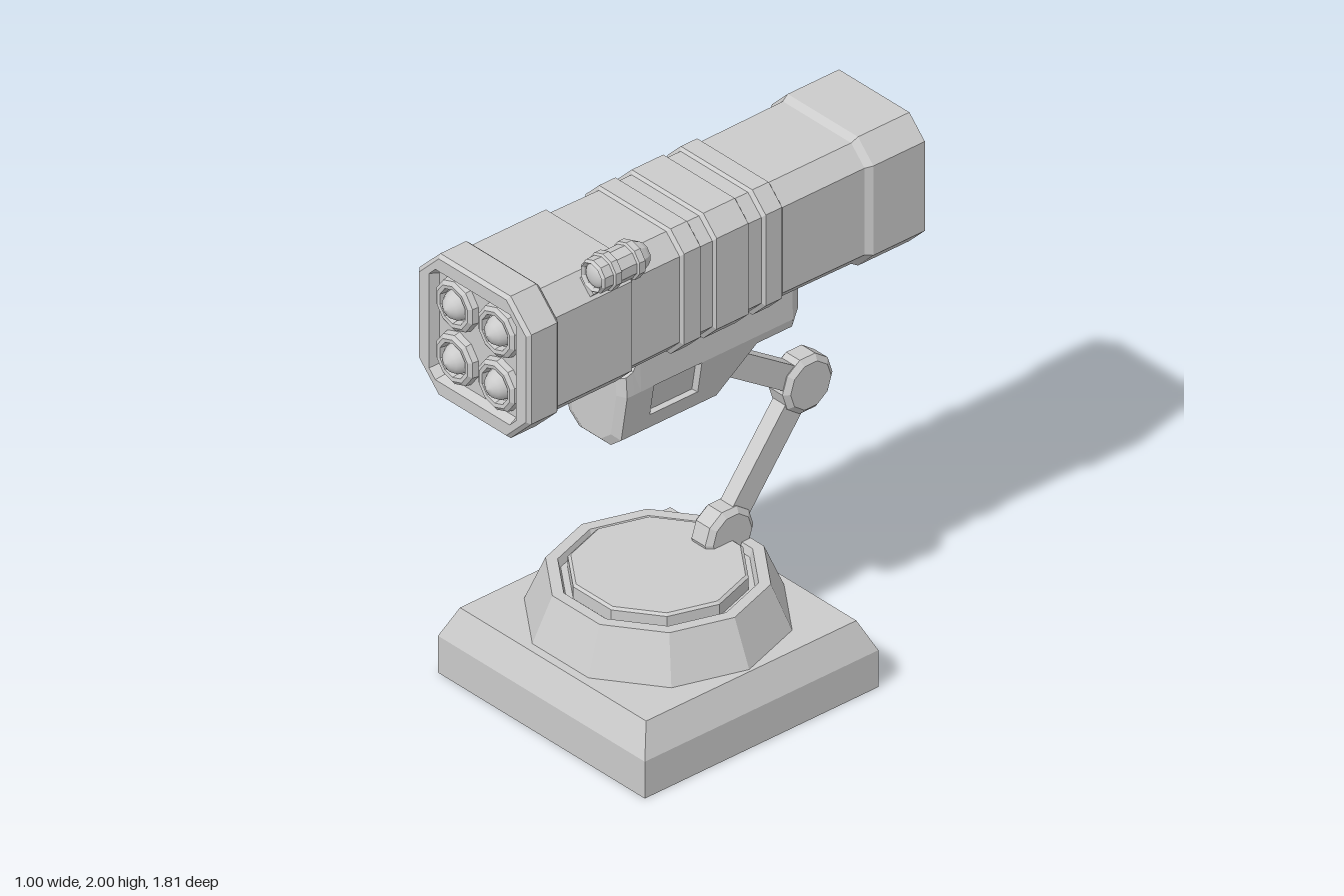
import * as THREE from 'three';

const grey = new THREE.MeshStandardMaterial({ color: 0xcccccc, flatShading: true, side: THREE.DoubleSide });
const smoothGrey = new THREE.MeshStandardMaterial({ color: 0xcccccc });

function add(parent, name, geometry, x = 0, y = 0, z = 0, material = grey) {
  const mesh = new THREE.Mesh(geometry, material);
  mesh.name = name;
  mesh.position.set(x, y, z);
  parent.add(mesh);
  return mesh;
}

function lathe(profile, sides, start = 0) {
  return new THREE.LatheGeometry(profile.map(([r, y]) => new THREE.Vector2(r, y)), sides, start);
}

// Skin over rings running from back to front, each counter-clockwise seen from +z.
// Quads listed in pockets ("ring,corner") become shallow recesses.
function loft(rings, pockets = []) {
  const pos = [];
  const tri = (...pts) => pts.forEach(p => pos.push(p.x, p.y, p.z));
  const quad = (a, b, c, d) => { tri(a, b, c); tri(a, c, d); };
  const n = rings[0].length;
  for (let i = 0; i < rings.length - 1; i++) {
    for (let j = 0; j < n; j++) {
      const k = (j + 1) % n;
      const q = [rings[i][j], rings[i][k], rings[i + 1][k], rings[i + 1][j]];
      if (!pockets.includes(`${i},${j}`)) { quad(...q); continue; }
      const mid = new THREE.Vector3();
      q.forEach(p => mid.addScaledVector(p, 0.25));
      const inner = q.map(p => {
        const v = p.clone().lerp(mid, 0.08);
        v.x -= Math.sign(v.x) * 0.02;
        return v;
      });
      q.forEach((p, s) => quad(p, q[(s + 1) % 4], inner[(s + 1) % 4], inner[s]));
      quad(...inner);
    }
  }
  const last = rings[rings.length - 1];
  for (let j = 1; j < n - 1; j++) {
    tri(rings[0][0], rings[0][j + 1], rings[0][j]);
    tri(last[0], last[j], last[j + 1]);
  }
  const g = new THREE.BufferGeometry();
  g.setAttribute('position', new THREE.Float32BufferAttribute(pos, 3));
  g.computeVertexNormals();
  return g;
}

// Square ring with cut corners
function cutSquare(z, h, c) {
  const k = h - c;
  return [[h, -k], [h, k], [k, h], [-k, h], [-h, k], [-h, -k], [-k, -h], [k, -h]]
    .map(([x, y]) => new THREE.Vector3(x, y, z));
}

// Cross-section of the cradle under the barrel
function cradleRing([z, top, bottom, inset]) {
  const cut = bottom + 0.04;
  const mid = Math.max(1.14, cut + 0.01);
  const shoulder = Math.max(1.26, mid + 0.01);
  const width = y => THREE.MathUtils.clamp(0.125 + (y - 1.08) / 6, 0.12, 0.155) - inset;
  const half = [[width(cut) - 0.05, bottom], [width(cut), cut], [width(mid), mid],
    [width(shoulder), shoulder], [width(top) - 0.005, Math.max(top, shoulder + 0.01)]];
  return [...half, ...half.map(([x, y]) => [-x, y]).reverse()]
    .map(([x, y]) => new THREE.Vector3(x, y, z));
}

function link(parent, name, [y0, z0], [y1, z1]) {
  const dy = y1 - y0, dz = z1 - z0;
  const mesh = add(parent, name, new THREE.BoxGeometry(0.06, Math.hypot(dy, dz), 0.09),
    0, (y0 + y1) / 2, (z0 + z1) / 2);
  mesh.rotation.x = Math.atan2(dz, dy);
}

export function createModel() {
  const model = new THREE.Group();
  model.name = 'turret';

  // Square plinth and ten-sided pedestal
  const d = Math.SQRT2;
  add(model, 'plinth', lathe([[0, 0], [0.5 * d, 0], [0.5 * d, 0.14], [0.45 * d, 0.25], [0, 0.25]], 4, Math.PI / 4), 0, 0, 0.08);
  add(model, 'pedestal', lathe([[0.44, 0.25], [0.37, 0.415], [0.33, 0.415], [0.32, 0.385],
    [0.297, 0.385], [0.297, 0.43], [0.287, 0.438], [0, 0.438]], 10, Math.PI / 2), 0, 0, 0.08);

  // Folding arm
  const arm = new THREE.Group();
  arm.name = 'arm';
  model.add(arm);
  const joints = [[0.45, -0.195], [0.885, -0.53], [1.14, -0.14]];
  joints.forEach(([y, z], i) => {
    const r = i === 1 ? 0.107 : 0.103;
    const g = lathe([[0, -0.05], [r - 0.02, -0.05], [r, -0.033], [r, 0.033], [r - 0.02, 0.05], [0, 0.05]], 10);
    g.rotateZ(-Math.PI / 2);
    add(arm, 'armJoint', g, 0, y, z);
  });
  link(arm, 'lowerLink', joints[0], joints[1]);
  link(arm, 'upperLink', joints[1], joints[2]);

  // Cradle: z, top, bottom, inset, with a pocket on each side
  const cradle = [
    [-0.418, 1.42, 1.35, 0.04], [-0.40, 1.42, 1.24, 0.02], [-0.36, 1.42, 1.19, 0], [-0.21, 1.42, 1.19, 0],
    [-0.058, 1.42, 1.045, 0], [0.03, 1.42, 1.045, 0], [0.235, 1.42, 1.045, 0],
    [0.29, 1.40, 1.045, 0], [0.32, 1.345, 1.045, 0], [0.35, 1.335, 1.045, 0], [0.365, 1.32, 1.06, 0.035],
  ];
  add(model, 'cradle', loft(cradle.map(cradleRing), ['5,2', '5,6']));

  // Barrel: z, half width, corner cut, from the rear plate to the recessed muzzle
  const C = 0.065;
  const barrel = [[-0.905, 0.165, 0.05], [-0.87, 0.185, 0.055], [-0.85, 0.185, 0.055], [-0.86, 0.225, 0.07],
    [-0.845, 0.245, 0.075], [-0.625, 0.245, 0.075], [-0.6, 0.23, C]];
  for (const [a, b] of [[-0.25, -0.16], [-0.105, 0.05], [0.1, 0.19]]) {
    barrel.push([a, 0.228, C], [a + 0.01, 0.238, C], [b - 0.01, 0.238, C], [b, 0.228, C]);
  }
  barrel.push([0.395, 0.23, C], [0.41, 0.245, 0.075], [0.735, 0.245, 0.075], [0.74, 0.26, 0.095], [0.752, 0.27, 0.1],
    [0.862, 0.27, 0.1], [0.875, 0.258, 0.095], [0.875, 0.21, 0.03], [0.84, 0.2, 0.028]);
  add(model, 'barrel', loft(barrel.map(p => cutSquare(...p))), 0, 1.604, 0);

  // Four muzzle rings with domes
  for (const x of [-0.102, 0.102]) {
    for (const y of [-0.102, 0.102]) {
      const ring = lathe([[0.096, 0], [0.092, 0.022], [0.078, 0.032], [0.064, 0.03], [0.06, 0.005], [0, 0.005]], 10);
      ring.rotateX(Math.PI / 2);
      add(model, 'muzzleRing', ring, x, 1.604 + y, 0.84);
      const dome = lathe([[0.054, 0], [0.05, 0.022], [0.036, 0.042], [0.018, 0.054], [0, 0.06]], 16);
      dome.rotateX(Math.PI / 2);
      add(model, 'muzzleDome', dome, x, 1.604 + y, 0.842, smoothGrey);
    }
  }

  // Side sight on a slanted stem
  const sight = new THREE.Group();
  sight.name = 'sight';
  sight.position.set(0.325, 1.932, 0.545);
  model.add(sight);
  const body = lathe([[0, -0.11], [0.04, -0.11], [0.05, -0.095], [0.06, -0.07], [0.068, -0.065], [0.068, -0.04],
    [0.06, -0.035], [0.06, 0.03], [0.068, 0.035], [0.068, 0.06], [0.06, 0.065], [0.06, 0.1],
    [0.052, 0.11], [0.045, 0.1], [0.045, 0.085], [0, 0.085]], 10);
  body.rotateX(Math.PI / 2);
  add(sight, 'sightBody', body);
  const lens = new THREE.SphereGeometry(0.045, 14, 8, 0, Math.PI * 2, 0, Math.PI / 2);
  lens.rotateX(Math.PI / 2);
  lens.scale(1, 1, 0.5);
  add(sight, 'sightLens', lens, 0, 0, 0.087, smoothGrey);
  add(sight, 'sightStem', new THREE.CylinderGeometry(0.018, 0.018, 0.16, 8), -0.06, -0.065, 0).rotation.z = -Math.PI / 4;
  add(sight, 'sightFoot', new THREE.BoxGeometry(0.07, 0.03, 0.07), -0.108, -0.118, 0).rotation.z = -Math.PI / 4;

  return model;
}
